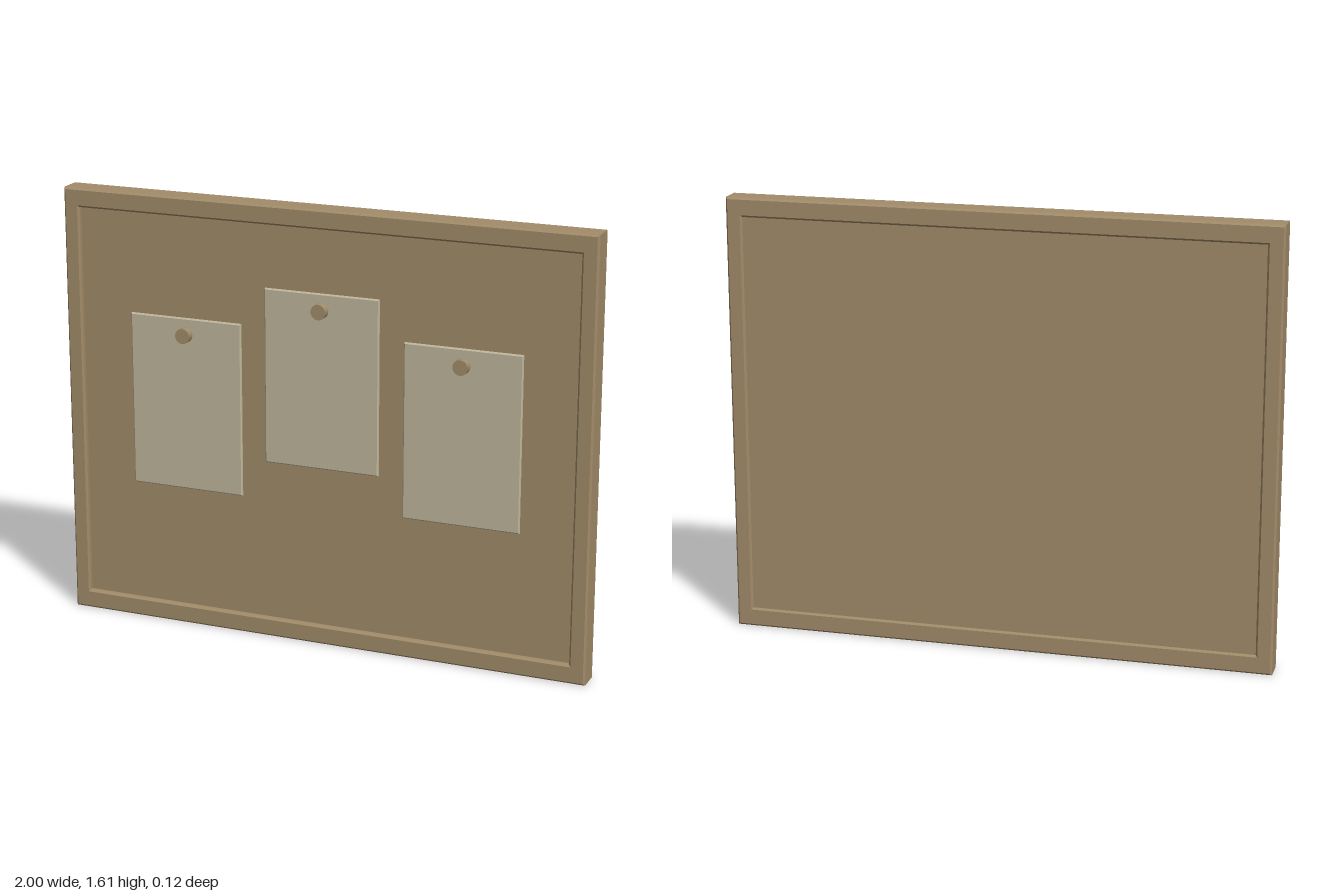
import * as THREE from 'three';

const wood = new THREE.MeshStandardMaterial({ name: 'wood', color: 0xa28c6a });
const paper = new THREE.MeshStandardMaterial({ name: 'paper', color: 0xc0b79c });

function rectangle(target, x0, y0, x1, y1) {
  target.moveTo(x0, y0);
  target.lineTo(x1, y0);
  target.lineTo(x1, y1);
  target.lineTo(x0, y1);
  target.closePath();
  return target;
}

// Plate from z0 to z1 with small chamfers that stay inside the outline
function chamferedPlate(shape, z0, z1, chamfer) {
  const geometry = new THREE.ExtrudeGeometry(shape, {
    depth: z1 - z0 - 2 * chamfer,
    bevelEnabled: true,
    bevelThickness: chamfer,
    bevelSize: chamfer,
    bevelOffset: -chamfer,
    bevelSegments: 1,
  });
  return geometry.translate(0, 0, z0 + chamfer);
}

export function createModel() {
  const group = new THREE.Group();
  group.name = 'noticeBoard';

  function add(name, geometry, material) {
    const mesh = new THREE.Mesh(geometry, material);
    mesh.name = name;
    group.add(mesh);
    return mesh;
  }

  // Frame with a rectangular opening
  const outline = rectangle(new THREE.Shape(), -1, 0, 1, 1.61);
  outline.holes.push(rectangle(new THREE.Path(), -0.94, 0.07, 0.94, 1.54));
  add('frame', chamferedPlate(outline, -0.056, 0.04, 0.007), wood);

  // Board set slightly back from both faces of the frame
  const board = new THREE.BoxGeometry(1.9, 1.49, 0.068);
  add('board', board.translate(0, 0.805, -0.014), wood);

  // Three notes, each hung from a round pin
  const notes = [
    ['left', 0.527, 0.525],
    ['middle', 0, 0.667],
    ['right', -0.527, 0.525],
  ];
  for (const [side, x, y] of notes) {
    const sheet = rectangle(new THREE.Shape(), x - 0.217, y, x + 0.217, y + 0.643);
    add(side + 'Note', chamferedPlate(sheet, 0.018, 0.032, 0.004), paper);

    const pin = new THREE.CylinderGeometry(0.028, 0.028, 0.035, 16).rotateX(Math.PI / 2);
    add(side + 'Pin', pin, wood).position.set(x, y + 0.583, 0.0425);
  }
  return group;
}
